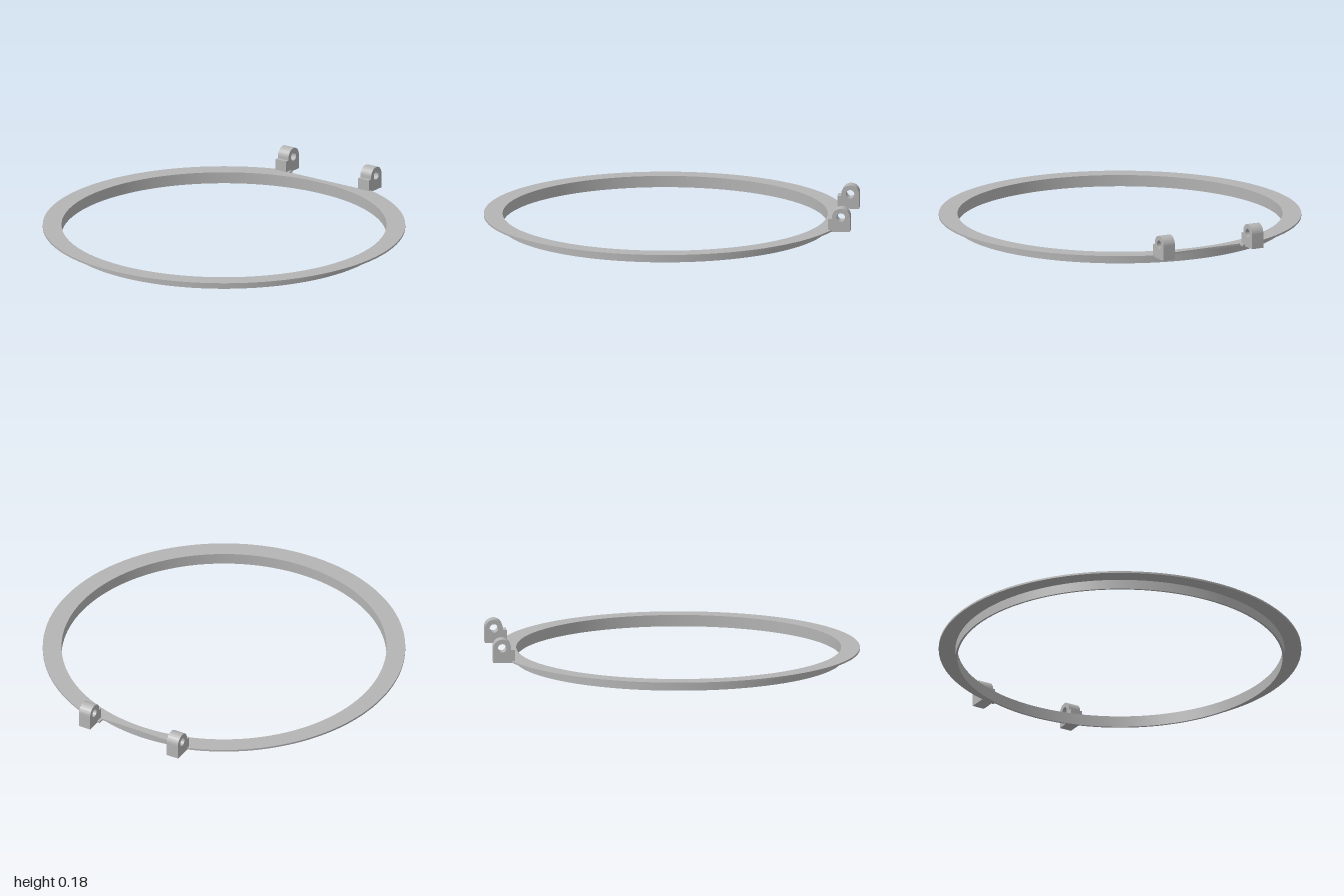
import * as THREE from 'three';
import { toCreasedNormals } from 'three/addons/utils/BufferGeometryUtils.js';

const CZ = 0.025;                 // ring centre along z
const R_OUT = 0.975, R_COLLAR = 0.885, R_IN = 0.874;
const FLANGE_Y = 0.052, FLANGE_TOP = 0.062;

// Extrude a shape without bevels, keeping curved walls smooth
function extrude(shape, depth, curveSegments) {
  const geo = new THREE.ExtrudeGeometry(shape, { depth, curveSegments, bevelEnabled: false });
  return toCreasedNormals(geo, 0.6);
}

export function createModel() {
  const model = new THREE.Group();
  model.name = 'hingedRing';
  const grey = new THREE.MeshStandardMaterial({ color: 0xb4b4b4 });
  grey.name = 'grey';

  const add = (name, geo) => {
    const mesh = new THREE.Mesh(geo, grey);
    mesh.name = name;
    model.add(mesh);
    return mesh;
  };

  // Flat flange with a straight notch at the back (shape y = -z)
  const notchX = 0.225, notchY = 0.89;
  const a = Math.acos(notchX / R_OUT);
  const flange = new THREE.Shape();
  flange.moveTo(notchX, notchY);
  flange.lineTo(-notchX, notchY);
  flange.absarc(0, -CZ, R_OUT, Math.PI - a, Math.PI * 2 + a, false);
  flange.closePath();
  const opening = new THREE.Path();
  opening.absarc(0, -CZ, R_IN, 0, Math.PI * 2, true);
  flange.holes.push(opening);
  add('flange', extrude(flange, FLANGE_TOP - FLANGE_Y, 96).rotateX(-Math.PI / 2))
    .position.y = FLANGE_Y;

  // Thin collar below the flange
  const collar = new THREE.Shape();
  collar.absarc(0, -CZ, R_COLLAR, 0, Math.PI * 2, false);
  collar.holes.push(opening);
  add('collar', extrude(collar, FLANGE_Y, 96).rotateX(-Math.PI / 2));

  // Hinge lugs: rounded eye with a pin hole and a stepped foot (shape x = -z)
  const eyeX = 0.952, eyeY = 0.132, eyeR = 0.048, width = 0.07;
  const lug = new THREE.Shape();
  lug.moveTo(0.883, FLANGE_Y);
  lug.lineTo(1.0, FLANGE_Y);
  lug.lineTo(1.0, eyeY);
  lug.absarc(eyeX, eyeY, eyeR, 0, Math.PI, false);
  lug.lineTo(eyeX - eyeR, 0.122);
  lug.lineTo(0.883, 0.122);
  lug.closePath();
  const pinHole = new THREE.Path();
  pinHole.absarc(eyeX, eyeY, 0.023, 0, Math.PI * 2, true);
  lug.holes.push(pinHole);
  const lugGeo = extrude(lug, width, 24).rotateY(Math.PI / 2).translate(-width / 2, 0, 0);
  for (const [name, side] of [['leftHingeLug', 1], ['rightHingeLug', -1]]) {
    add(name, lugGeo).position.x = side * 0.273;
  }

  return model;
}
